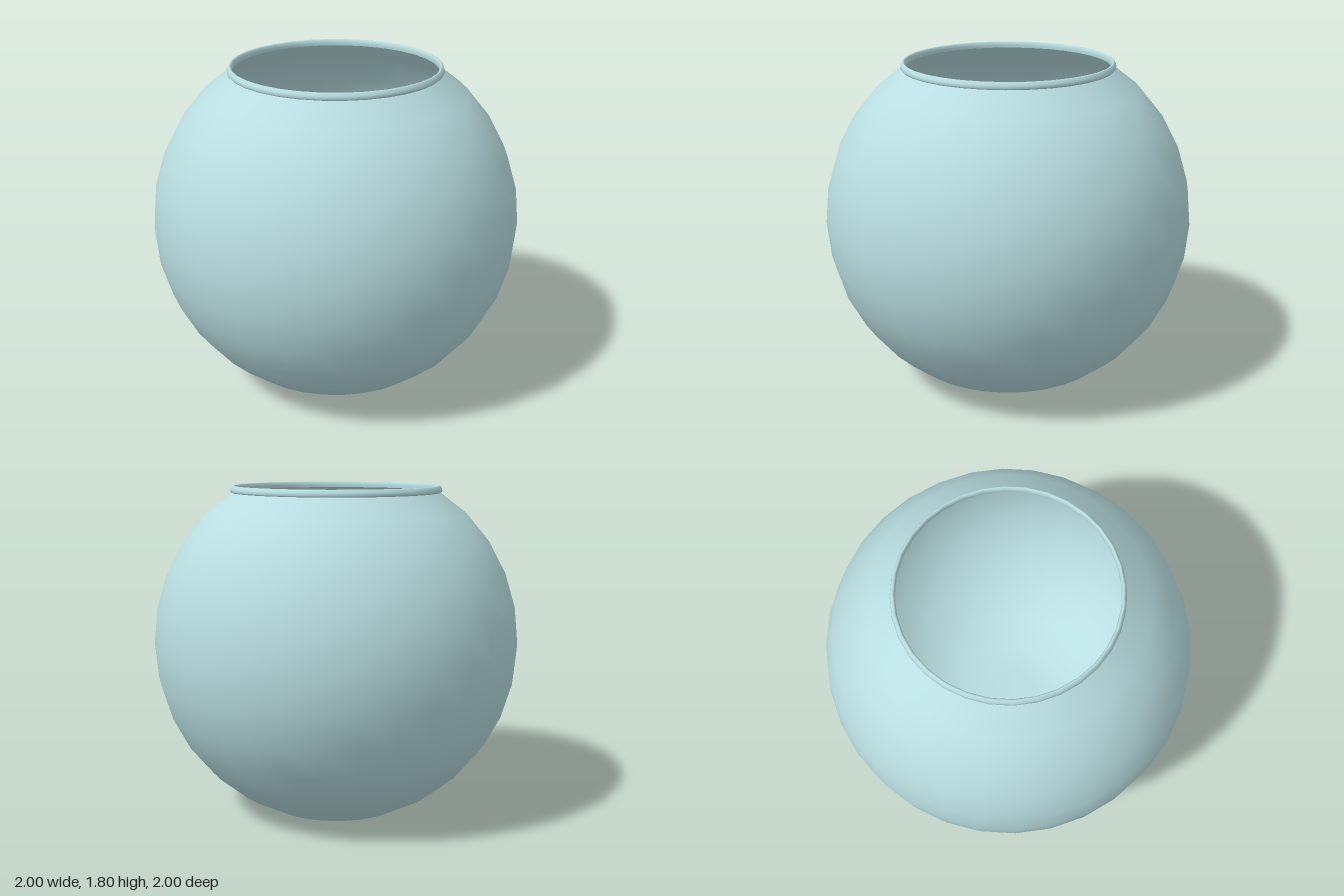
import * as THREE from 'three';

const SEGMENTS = 32;

function lathe(name, points, color) {
  const geometry = new THREE.LatheGeometry(points.map(([r, y]) => new THREE.Vector2(r, y)), SEGMENTS);
  const material = new THREE.MeshStandardMaterial({ color, side: THREE.DoubleSide });
  const mesh = new THREE.Mesh(geometry, material);
  mesh.name = name;
  return mesh;
}

export function createModel() {
  const group = new THREE.Group();
  group.name = 'roundBowl';
  const color = 0xb8dde0;

  // Thin spherical bowl: nearly flat base, round wall, short neck under the rim
  const centreY = 0.945;
  const profile = [[0, 0.004], [0.195, 0.008]];
  for (let i = -6; i <= 4; i++) {
    const a = (i * Math.PI) / 16;
    profile.push([Math.cos(a), centreY + Math.sin(a)]);
  }
  profile.push([0.56, 1.765], [0.557, 1.785]);
  group.add(lathe('bowl', profile, color));

  // Slim rounded lip around the opening
  const rim = [
    [0.55, 1.765], [0.568, 1.762], [0.575, 1.77], [0.572, 1.783],
    [0.565, 1.797], [0.558, 1.8], [0.551, 1.795], [0.548, 1.78], [0.55, 1.765],
  ];
  group.add(lathe('rim', rim, color));

  return group;
}
